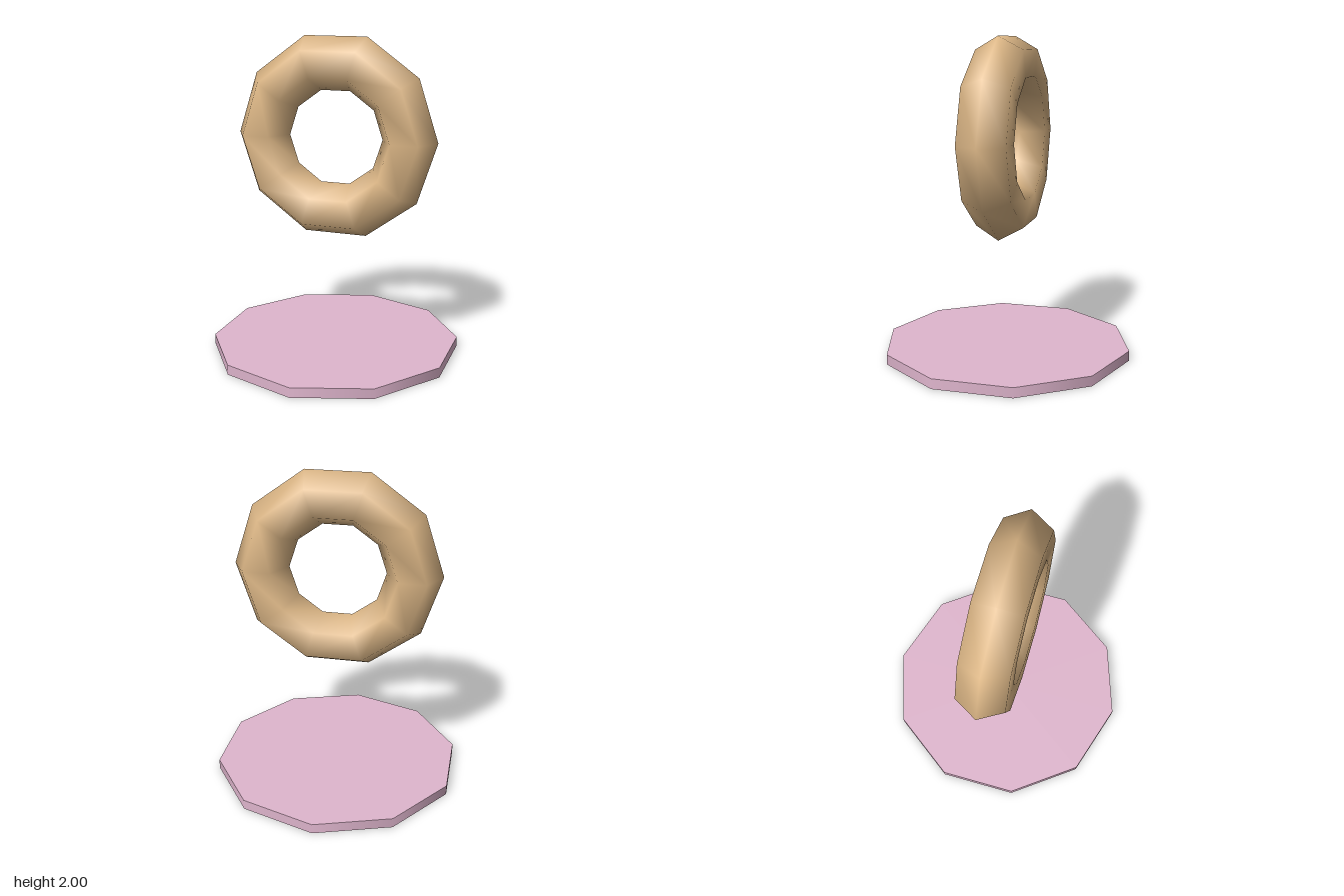
import * as THREE from 'three';

export function createModel() {
  const group = new THREE.Group();
  const sides = 10;

  const addPart = (name, geometry, color, y) => {
    const mesh = new THREE.Mesh(geometry, new THREE.MeshStandardMaterial({ color }));
    mesh.name = name;
    mesh.position.y = y;
    group.add(mesh);
  };

  // Flat ten-sided base disc resting on the ground
  const baseHeight = 0.063;
  addPart('base', new THREE.CylinderGeometry(0.792, 0.792, baseHeight, sides), 0xe0b6ce, baseHeight / 2);

  // Upright ring with a six-sided tube, floating above the base
  const ringRadius = 0.476, tubeRadius = 0.173;
  const ringY = 2 - (ringRadius + tubeRadius) * Math.cos(Math.PI / sides);
  addPart('ring', new THREE.TorusGeometry(ringRadius, tubeRadius, 6, sides), 0xdeb887, ringY);

  return group;
}
